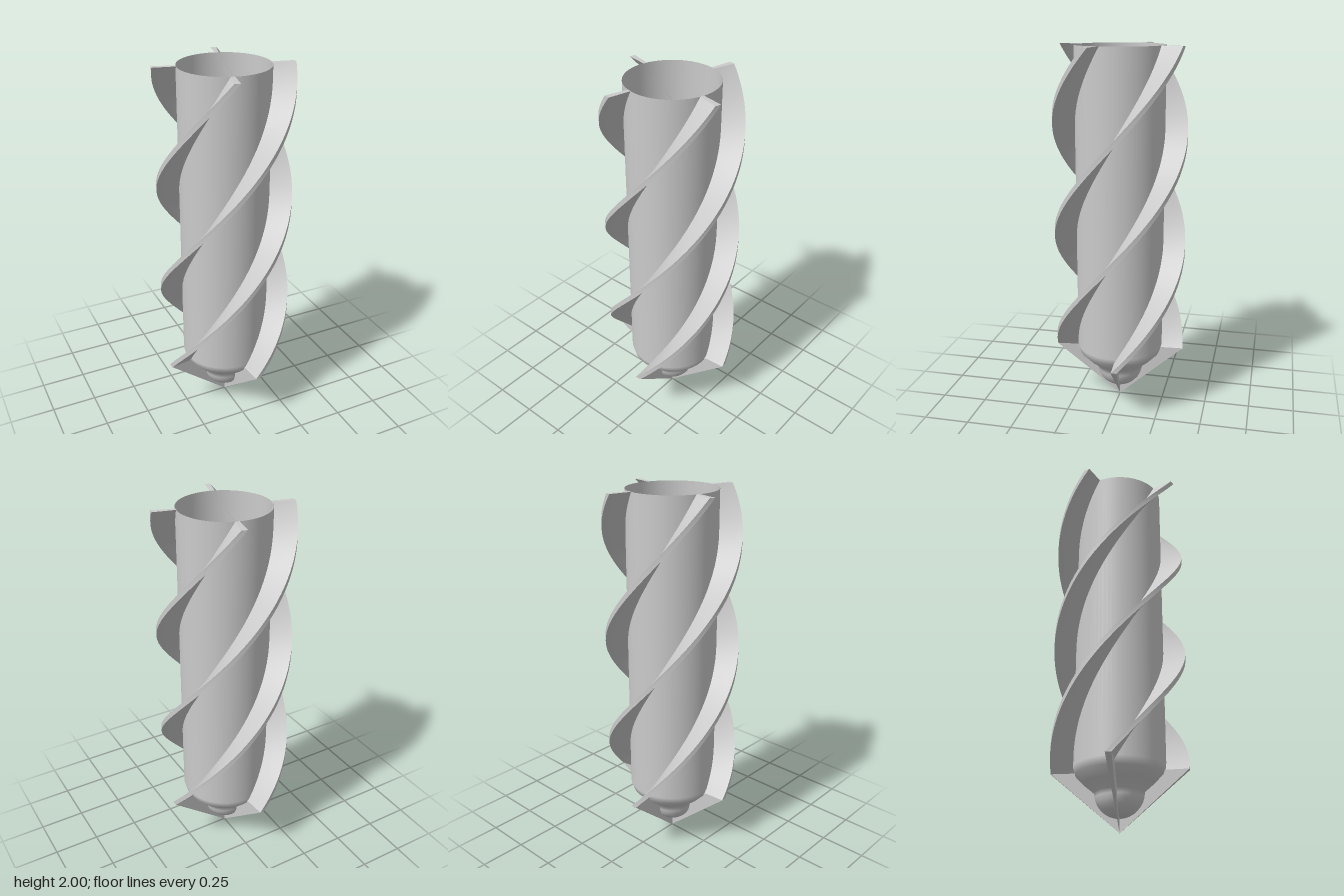
import * as THREE from 'three';
import { toCreasedNormals } from 'three/addons/utils/BufferGeometryUtils.js';

const CORE = 0.24, OUTER = 0.36, SHOULDER = 0.31, TOP = 2;
const RAD = Math.PI / 180;
const HALF_WEDGE = 2.5 * RAD;
const START = 6.5 * RAD, TWIST = 146.4 * RAD; // start angle, twist per unit height

// Solid skinned over wedge-shaped sections { y, angle, inner, outer }, bottom to top
function wedgeSolid(sections) {
  const pos = [], index = [];
  for (const { y, angle, inner, outer } of sections) {
    for (const [r, s] of [[inner, -1], [outer, -1], [outer, 1], [inner, 1]]) {
      const a = angle + s * HALF_WEDGE;
      pos.push(r * Math.sin(a), y, r * Math.cos(a));
    }
  }
  for (let k = 0; k < sections.length - 1; k++) {
    for (let i = 0; i < 4; i++) {
      const a = k * 4 + i, b = k * 4 + (i + 1) % 4;
      index.push(a, b, b + 4, a, b + 4, a + 4);
    }
  }
  const t = (sections.length - 1) * 4;
  index.push(t, t + 1, t + 2, t, t + 2, t + 3, 0, 2, 1, 0, 3, 2);
  const geo = new THREE.BufferGeometry();
  geo.setAttribute('position', new THREE.Float32BufferAttribute(pos, 3));
  geo.setIndex(index);
  return toCreasedNormals(geo, 35 * RAD);
}

export function createModel() {
  const group = new THREE.Group();
  const material = new THREE.MeshStandardMaterial({ color: 0xcccccc, side: THREE.DoubleSide });
  const add = (name, geo, parent = group) => {
    const mesh = new THREE.Mesh(geo, material);
    mesh.name = name;
    parent.add(mesh);
    return mesh;
  };

  // Hollow core, open at the top, narrowing to a rounded nose
  const profile = [];
  for (let i = 0; i <= 8; i++) {
    const a = i / 8 * Math.PI / 2;
    profile.push(new THREE.Vector2(0.13 * Math.sin(a), 0.2 - 0.13 * Math.cos(a)));
  }
  profile.push(new THREE.Vector2(0.185, 0.245), new THREE.Vector2(0.228, 0.29),
    new THREE.Vector2(CORE, 0.33), new THREE.Vector2(CORE, TOP));
  add('core', new THREE.LatheGeometry(profile, 64));

  // Dome on the floor of the core
  const dome = add('innerDome', new THREE.SphereGeometry(0.13, 40, 12, 0, Math.PI * 2, 0, Math.PI / 2));
  dome.position.y = 0.2;

  // Helical fin and the pointed cutting blade below it, four times around
  const steps = 80, finSections = [];
  for (let i = 0; i <= steps; i++) {
    const y = SHOULDER + (TOP - SHOULDER) * i / steps;
    finSections.push({ y, angle: START + TWIST * (y - SHOULDER), inner: CORE - 0.002, outer: OUTER });
  }
  const finGeo = wedgeSolid(finSections);
  const bladeGeo = wedgeSolid([
    { y: 0, angle: START, inner: 0, outer: 0.001 },
    { y: SHOULDER, angle: START, inner: 0, outer: OUTER },
  ]);
  for (let i = 0; i < 4; i++) {
    const flute = new THREE.Group();
    flute.name = 'flute' + (i + 1);
    flute.rotation.y = i * Math.PI / 2;
    add('helicalFin', finGeo, flute);
    add('tipBlade', bladeGeo, flute);
    group.add(flute);
  }
  return group;
}
